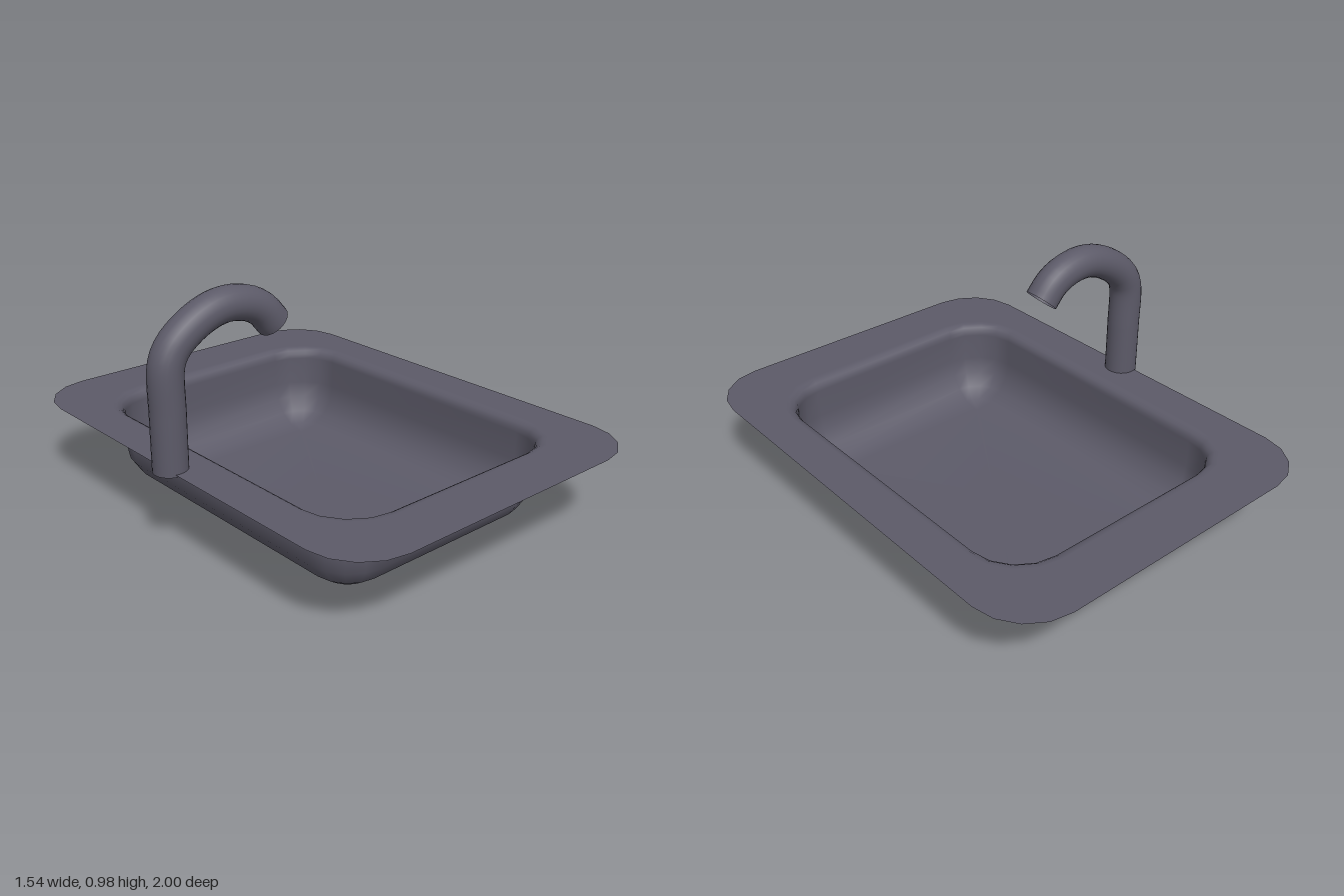
import * as THREE from 'three';

const material = new THREE.MeshStandardMaterial({ color: 0x5c5a68, side: THREE.DoubleSide });
const CX = 0.023; // centre line of the basin
const CORNER_STEPS = 4;

// Rounded rectangle loop in the xz plane at height y
function ring(hx, hz, r, y) {
  const points = [];
  [[1, 1], [-1, 1], [-1, -1], [1, -1]].forEach(([sx, sz], q) => {
    for (let i = 0; i <= CORNER_STEPS; i++) {
      const a = (q + i / CORNER_STEPS) * Math.PI / 2;
      points.push([
        CX + sx * (hx - r) + r * Math.cos(a), y,
        sz * (hz - r) + r * Math.sin(a),
      ]);
    }
  });
  return points;
}

// Joins the loops with quads and closes the last one with a fan
function loft(rings) {
  const n = rings[0].length;
  const index = [];
  for (let k = 0; k < rings.length - 1; k++) {
    for (let i = 0; i < n; i++) {
      const j = (i + 1) % n;
      const a = k * n + i, b = k * n + j;
      index.push(a, a + n, b, b, a + n, b + n);
    }
  }
  const last = (rings.length - 1) * n;
  const centre = rings.length * n;
  for (let i = 0; i < n; i++) index.push(last + i, centre, last + (i + 1) % n);
  const positions = [...rings.flat(), [CX, rings.at(-1)[0][1], 0]].flat();
  const geometry = new THREE.BufferGeometry();
  geometry.setAttribute('position', new THREE.Float32BufferAttribute(positions, 3));
  geometry.setIndex(index);
  geometry.computeVertexNormals();
  return geometry;
}

// Thin shell: flat rim, small lip, straight wall and rounded floor edge
function makeSink() {
  const hx = 0.551, hz = 0.738, r = 0.19, floorR = 0.18, top = 0.345;
  const rings = [
    ring(0.746, 1, 0.23, top),
    ring(hx + 0.045, hz + 0.05, r + 0.04, top),
  ];
  // Lip and wall: [outset, height]
  [[0.03, top], [0.013, 0.334], [0.003, 0.32], [0, 0.3], [0, floorR]].forEach(([o, y]) =>
    rings.push(ring(hx + o, hz + o, r + o, y)));
  for (let i = 1; i <= 4; i++) {
    const a = i / 4 * Math.PI / 2;
    const inset = floorR * (1 - Math.cos(a));
    rings.push(ring(hx - inset, hz - inset, r - inset, floorR * (1 - Math.sin(a))));
  }
  const mesh = new THREE.Mesh(loft(rings), material);
  mesh.name = 'sinkBasin';
  return mesh;
}

// Open curved pipe, its spout turned slightly forward
function makeFaucet() {
  const path = new THREE.CatmullRomCurve3([
    [-0.702, 0.335, 0], [-0.702, 0.55, 0], [-0.7, 0.73, 0], [-0.677, 0.785, 0],
    [-0.637, 0.828, 0.002], [-0.565, 0.876, 0.005], [-0.49, 0.905, 0.008],
    [-0.42, 0.911, 0.01], [-0.335, 0.892, 0.012], [-0.282, 0.86, 0.014],
    [-0.234, 0.806, 0.015],
  ].map(p => new THREE.Vector3(...p)));
  const mesh = new THREE.Mesh(new THREE.TubeGeometry(path, 36, 0.067, 24), material);
  mesh.name = 'faucet';
  return mesh;
}

export function createModel() {
  const group = new THREE.Group();
  group.name = 'sink';
  group.add(makeSink(), makeFaucet());
  return group;
}
